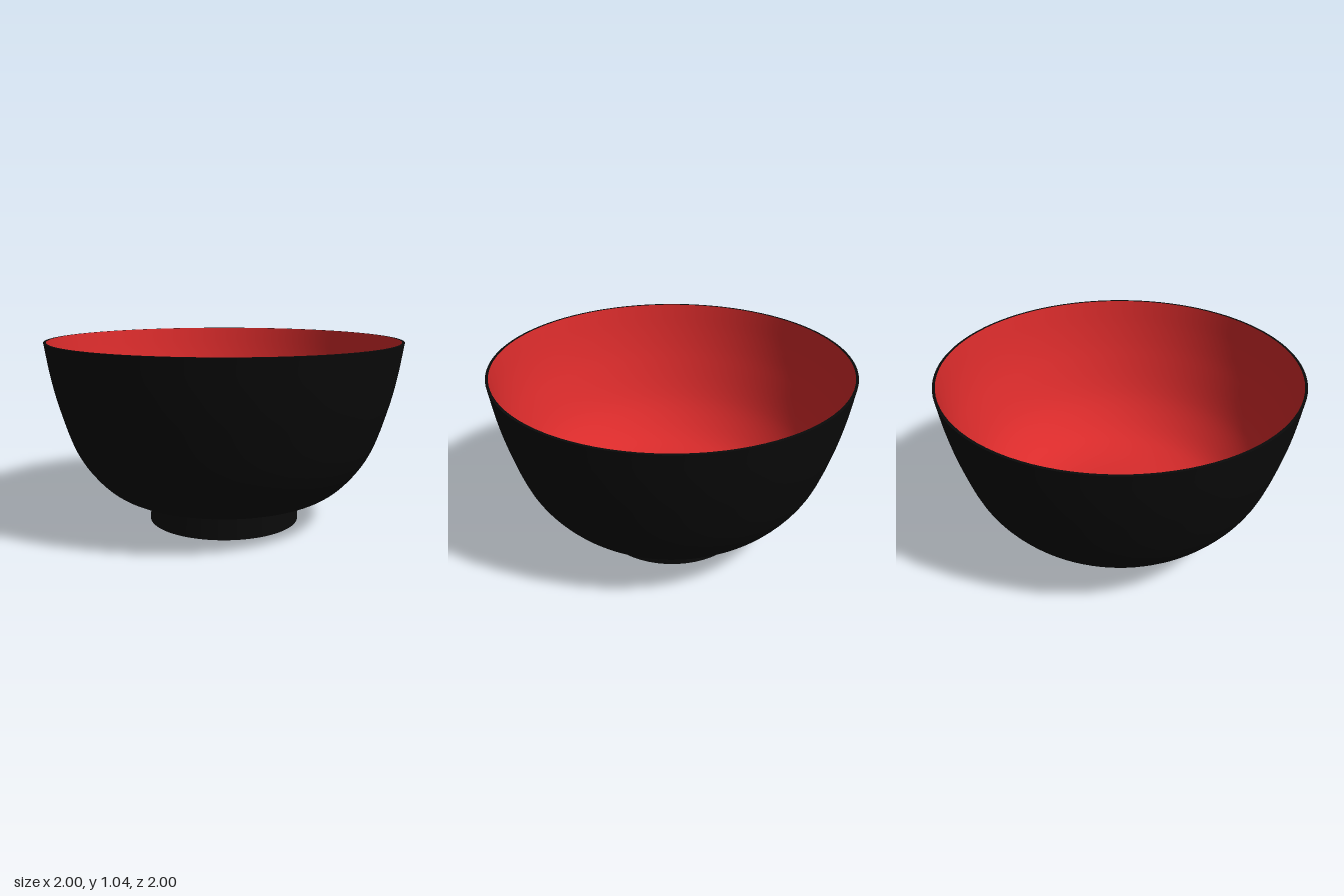
import * as THREE from 'three';

const SEGMENTS = 96;
const black = new THREE.MeshStandardMaterial({ color: 0x0a0a0a });
const red = new THREE.MeshStandardMaterial({ color: 0xd92b2b });

// Smooth curve through a few [radius, height] points
function smooth(points, divisions) {
  const curve = new THREE.CatmullRomCurve3(points.map(([r, y]) => new THREE.Vector3(r, y, 0)), false, 'centripetal');
  return curve.getPoints(divisions).map((p) => new THREE.Vector2(Math.max(p.x, 0), p.y));
}

// Revolve a profile around the y axis
function turned(name, profile, material) {
  const mesh = new THREE.Mesh(new THREE.LatheGeometry(profile, SEGMENTS), material);
  mesh.name = name;
  return mesh;
}

const line = (...points) => points.map(([r, y]) => new THREE.Vector2(r, y));

export function createModel() {
  const bowl = new THREE.Group();
  bowl.name = 'bowl';

  // Outer shell, from the centre of the underside up to the rim
  const outer = smooth([
    [0, 0.12], [0.2, 0.12], [0.42, 0.13], [0.55, 0.157], [0.645, 0.2], [0.74, 0.285],
    [0.84, 0.43], [0.93, 0.69], [0.97, 0.86], [1, 1.045],
  ], 40);
  bowl.add(turned('outerShell', outer, black));

  // Thin flat rim
  bowl.add(turned('rim', line([1, 1.045], [0.985, 1.045]), black));

  // Red lining, from the rim down to the centre of the floor
  const inner = smooth([
    [0.985, 1.045], [0.955, 0.86], [0.914, 0.69], [0.823, 0.44], [0.725, 0.3],
    [0.635, 0.22], [0.54, 0.177], [0.42, 0.15], [0.2, 0.14], [0, 0.14],
  ], 40);
  bowl.add(turned('lining', inner, red));

  // Foot ring: inner wall, flat base and outer wall kept sharp
  const foot = new THREE.Group();
  foot.name = 'foot';
  foot.add(
    turned('footInnerWall', line([0.38, 0.13], [0.39, 0]), black),
    turned('footBase', line([0.39, 0], [0.435, 0]), black),
    turned('footOuterWall', line([0.435, 0], [0.425, 0.135]), black),
  );
  bowl.add(foot);

  return bowl;
}
